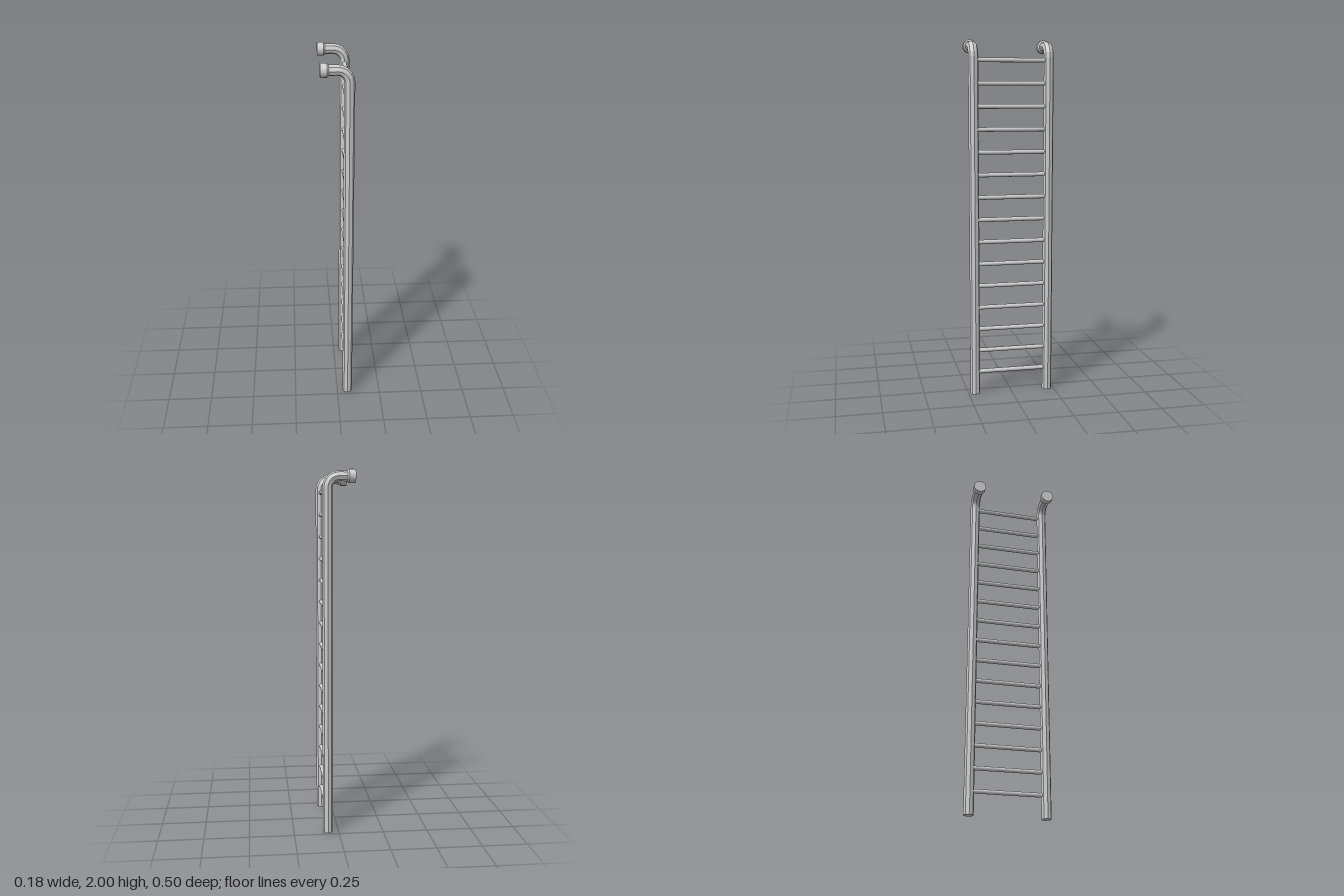
import * as THREE from 'three';

const RAIL_X = 0.06, RAIL_Z = 0.211, RAIL_R = 0.028;
const ARM_Y = 1.9635, BEND = 0.06;
const RUNGS = 15, FIRST_RUNG = 0.129, RUNG_STEP = 0.1255, RUNG_R = 0.0125;

const smooth = new THREE.MeshStandardMaterial({ color: 0xcccccc });
const faceted = new THREE.MeshStandardMaterial({ color: 0xcccccc, flatShading: true });

function add(parent, name, geometry, material, x, y, z) {
  const mesh = new THREE.Mesh(geometry, material);
  mesh.name = name;
  mesh.position.set(x, y, z);
  parent.add(mesh);
  return mesh;
}

// Cylinder lying along x from x0 to x1, with a radius for each end
function alongX(parent, name, x0, x1, r0, r1, sides, material) {
  const geometry = new THREE.CylinderGeometry(r1, r0, x1 - x0, sides).rotateZ(-Math.PI / 2);
  return add(parent, name, geometry, material, (x0 + x1) / 2, ARM_Y, 0);
}

// Upright tube that bends over at the top and ends in a wall flange
function createRail(name, z) {
  const rail = new THREE.Group();
  rail.name = name;
  rail.position.z = z;

  const height = ARM_Y - BEND;
  add(rail, 'upright', new THREE.CylinderGeometry(RAIL_R, RAIL_R, height, 8), faceted, RAIL_X, height / 2, 0);
  add(rail, 'bend', new THREE.TorusGeometry(BEND, RAIL_R, 8, 5, Math.PI / 2), faceted, RAIL_X - BEND, height, 0);
  alongX(rail, 'arm', -0.06, RAIL_X - BEND, RAIL_R, RAIL_R, 8, faceted);
  alongX(rail, 'flangeTaper', -0.054, -0.045, 0.0365, 0.0285, 32, smooth);
  alongX(rail, 'wallFlange', -0.0885, -0.054, 0.0365, 0.0365, 32, smooth);
  return rail;
}

export function createModel() {
  const ladder = new THREE.Group();
  ladder.name = 'wallLadder';

  ladder.add(createRail('frontRail', RAIL_Z), createRail('backRail', -RAIL_Z));

  // Evenly spaced round rungs between the rails
  const rungGeometry = new THREE.CylinderGeometry(RUNG_R, RUNG_R, RAIL_Z * 2, 12).rotateX(Math.PI / 2);
  for (let i = 0; i < RUNGS; i++) {
    add(ladder, `rung${i + 1}`, rungGeometry, smooth, RAIL_X, FIRST_RUNG + i * RUNG_STEP, 0);
  }
  return ladder;
}
